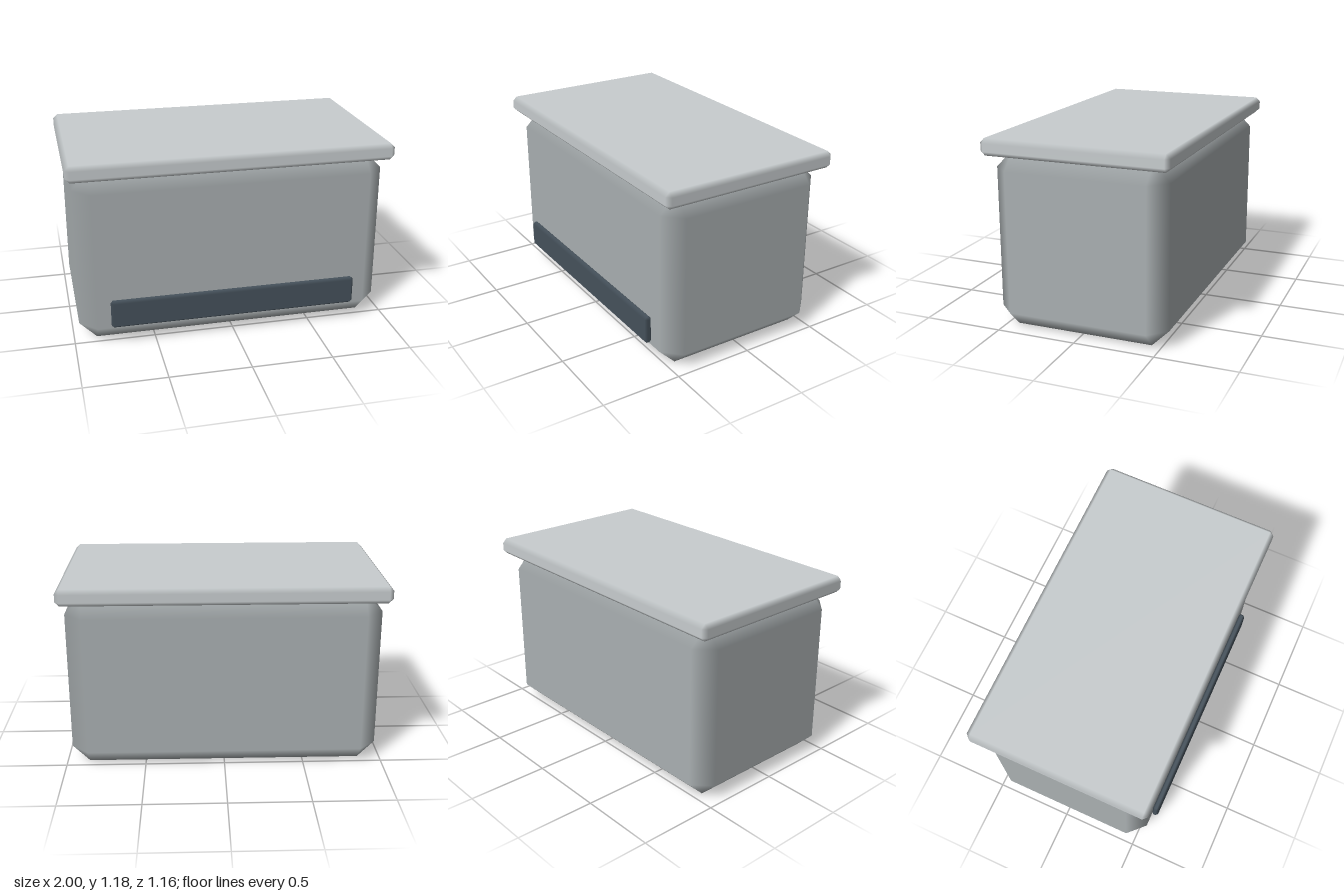
import * as THREE from 'three';
import { ConvexGeometry } from 'three/addons/geometries/ConvexGeometry.js';

// Box with one-step bevels; flat faces keep their own normal so the bevels shade softly
function bevelledBox(w, h, d, bevel) {
  const half = [w / 2, h / 2, d / 2];
  const points = [];
  for (const sx of [-1, 1]) for (const sy of [-1, 1]) for (const sz of [-1, 1]) {
    const signs = [sx, sy, sz];
    for (let axis = 0; axis < 3; axis++) {
      const p = half.map((v, i) => signs[i] * (i === axis ? v : v - bevel));
      points.push(new THREE.Vector3(...p));
    }
  }
  const geometry = new ConvexGeometry(points);
  const pos = geometry.attributes.position;
  const normal = geometry.attributes.normal;
  for (let i = 0; i < pos.count; i++) {
    const p = [pos.getX(i), pos.getY(i), pos.getZ(i)];
    const n = p.map((v, k) => (Math.abs(v) > half[k] - bevel * 0.5 ? Math.sign(v) : 0));
    normal.setXYZ(i, n[0], n[1], n[2]);
  }
  return geometry;
}

export function createModel() {
  const model = new THREE.Group();
  model.name = 'storageBox';

  const addPart = (name, size, bevel, y, z, color) => {
    const mesh = new THREE.Mesh(
      bevelledBox(...size, bevel),
      new THREE.MeshStandardMaterial({ color })
    );
    mesh.name = name;
    mesh.position.set(0, y, z);
    model.add(mesh);
  };

  // Main bin, its top tucked slightly into the lid
  addPart('body', [1.93, 1.09, 1.086], 0.106, 0.545, 0, 0xaab0b2);
  // Overhanging slab lid
  addPart('lid', [2, 0.104, 1.16], 0.027, 1.124, 0, 0xc8cdcf);
  // Dark strip low on the front
  addPart('frontStrip', [1.55, 0.177, 0.043], 0.014, 0.2115, 0.5615, 0x46525c);

  return model;
}
